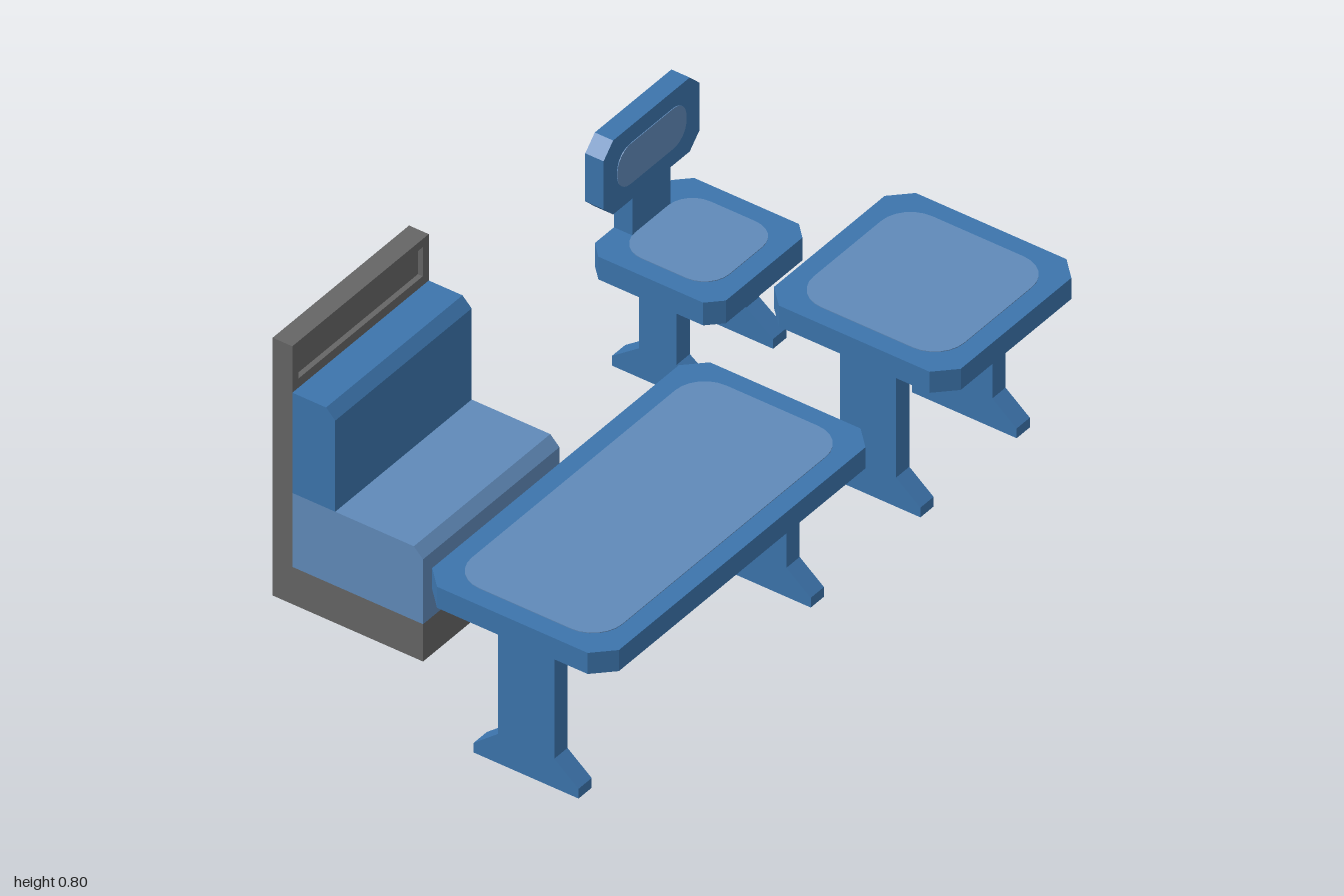
import * as THREE from 'three';

const material = (name, color) => {
  const m = new THREE.MeshStandardMaterial({ color });
  m.name = name;
  return m;
};

export function createModel() {
  const blue = material('blue', 0x3c74ac);
  const lightBlue = material('light blue', 0x608ab9);
  const grey = material('grey', 0x656565);

  const add = (parent, name, geometry, mat, x = 0, y = 0, z = 0) => {
    const mesh = new THREE.Mesh(geometry, mat);
    mesh.name = name;
    mesh.position.set(x, y, z);
    parent.add(mesh);
    return mesh;
  };
  const group = (parent, name) => {
    const g = new THREE.Group();
    g.name = name;
    parent.add(g);
    return g;
  };
  const polygon = (points) => new THREE.Shape(points.map(([x, y]) => new THREE.Vector2(x, y)));

  // Extrusion centred on z = 0
  const extrude = (shape, depth) =>
    new THREE.ExtrudeGeometry(shape, { depth, bevelEnabled: false, curveSegments: 3 }).translate(0, 0, -depth / 2);

  // Rectangle with cut corners
  const cutRect = (w, h, c) => {
    const a = w / 2, b = h / 2;
    return polygon([[a - c, -b], [a, -b + c], [a, b - c], [a - c, b],
      [-a + c, b], [-a, b - c], [-a, -b + c], [-a + c, -b]]);
  };

  // Rectangle with rounded corners
  const roundRect = (w, h, r) => {
    const a = w / 2 - r, b = h / 2 - r, s = new THREE.Shape();
    [[a, -b], [a, b], [-a, b], [-a, -b]].forEach(([x, y], i) =>
      s.absarc(x, y, r, (i - 1) * Math.PI / 2, i * Math.PI / 2, false));
    s.closePath();
    return s;
  };

  // Cut-corner board with a thin light inset on both faces
  const board = (parent, name, w, h, t, cut, insetW, insetH, r) => {
    const g = group(parent, name);
    add(g, name + 'Board', extrude(cutRect(w, h, cut), t), blue);
    for (const side of [-1, 1])
      add(g, name + 'Inset', extrude(roundRect(insetW, insetH, r), 0.004), lightBlue, 0, 0, side * t / 2);
    return g;
  };

  // Upright leg with a flared foot, profile runs front to back
  const legs = (parent, xs, z, height, post, foot) => {
    const p = post / 2, f = foot / 2;
    const geometry = extrude(polygon([[-f, 0], [f, 0], [f, 0.03], [p, 0.09], [p, height],
      [-p, height], [-p, 0.09], [-f, 0.03]]), 0.055).rotateY(Math.PI / 2);
    for (const x of xs) add(parent, 'leg', geometry, blue, x, 0, z);
  };

  const model = new THREE.Group();
  model.name = 'diningFurniture';

  // Tables
  for (const [name, x, w] of [['longTable', -0.43, 1.14], ['smallTable', 0.714, 0.572]]) {
    const table = group(model, name);
    const top = board(table, 'tableTop', w, 0.57, 0.065, 0.055, w - 0.11, 0.46, 0.09);
    top.rotation.x = -Math.PI / 2;
    top.position.set(x, 0.4825, 0.325);
    const off = w / 2 - 0.085;
    legs(table, [x - off, x + off], 0.325, 0.45, 0.172, 0.32);
  }

  // Chair
  const chair = group(model, 'chair');
  const seat = board(chair, 'chairSeat', 0.4, 0.4, 0.07, 0.04, 0.288, 0.288, 0.075);
  seat.rotation.x = -Math.PI / 2;
  seat.position.set(0.71, 0.31, -0.356);
  legs(chair, [0.567, 0.857], -0.356, 0.275, 0.115, 0.28);
  add(chair, 'backSupport', new THREE.BoxGeometry(0.16, 0.115, 0.056), blue, 0.71, 0.4025, -0.528);
  const back = board(chair, 'chairBack', 0.4, 0.228, 0.056, 0.04, 0.288, 0.124, 0.055);
  back.position.set(0.71, 0.572, -0.528);

  // Booth bench
  const booth = group(model, 'boothBench');
  const w = 0.57, bx = -0.43;
  add(booth, 'base', new THREE.BoxGeometry(w, 0.115, 0.4), grey, bx, 0.0575, -0.356);
  add(booth, 'backBoard', new THREE.BoxGeometry(w, 0.795, 0.045), grey, bx, 0.3975, -0.5925);

  // Front layer of the back board with a recessed panel
  const frame = polygon([[-w / 2, 0], [w / 2, 0], [w / 2, 0.795], [-w / 2, 0.795]]);
  frame.holes.push(polygon([[-0.26, 0.68], [-0.26, 0.77], [0.26, 0.77], [0.26, 0.68]]));
  add(booth, 'panelFrame', extrude(frame, 0.015), grey, bx, 0, -0.5625);

  // Cushions with a bevelled front top edge, profile in z and y
  const cushion = (name, front, bottom, top, mat) => {
    const rear = -0.555, c = 0.028;
    const shape = polygon([[-front, bottom], [-rear, bottom], [-rear, top], [-front + c, top], [-front, top - c]]);
    add(booth, name, extrude(shape, w).rotateY(Math.PI / 2), mat, bx);
  };
  cushion('seatCushion', -0.156, 0.115, 0.343, lightBlue);
  cushion('backCushion', -0.424, 0.343, 0.652, blue);

  return model;
}
